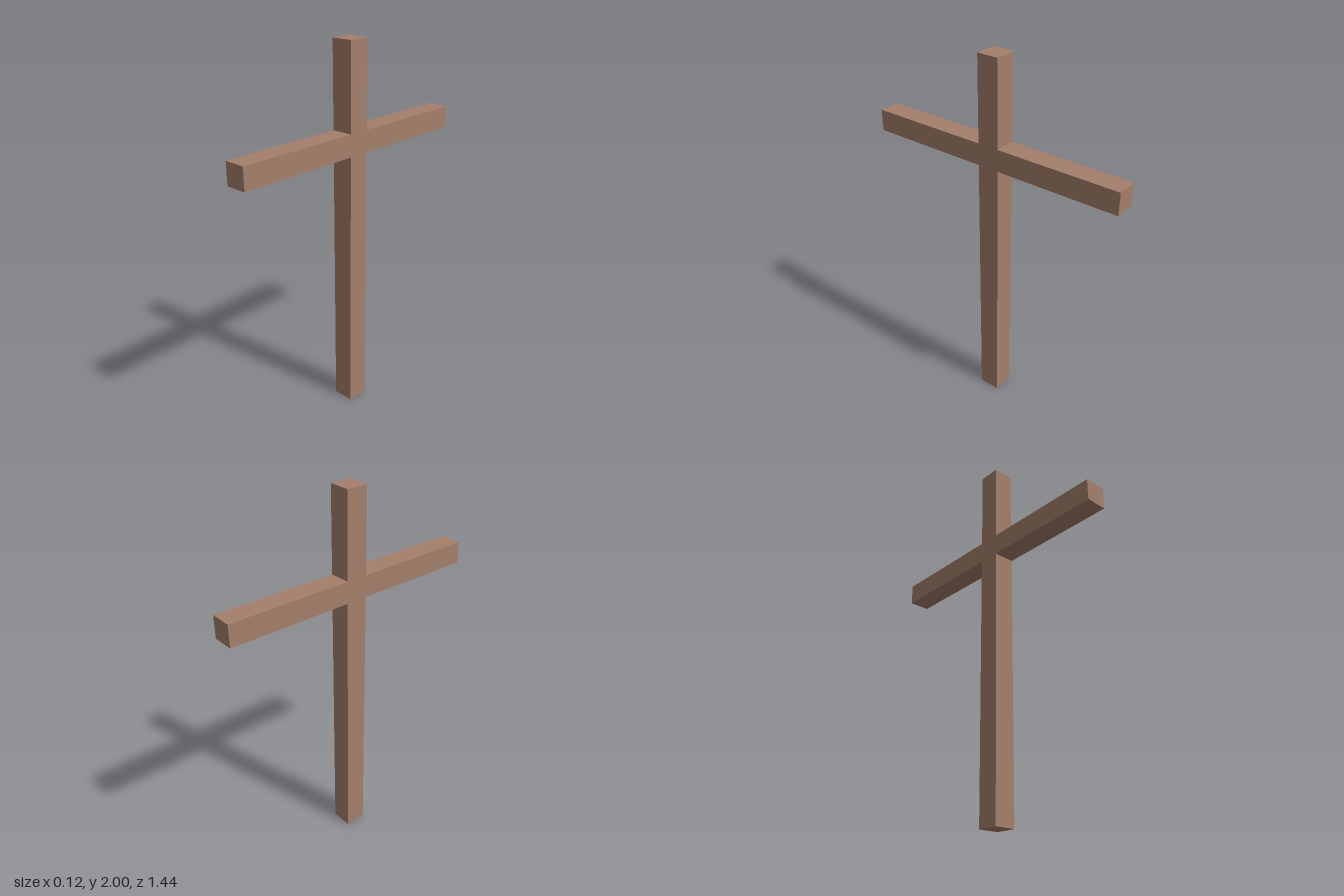
import * as THREE from 'three';

export function createModel() {
  const group = new THREE.Group();
  group.name = 'woodenCross';

  const half = 0.058;               // half thickness of the square timber
  const height = 2;
  const reach = 0.72;               // half length of the crossbar
  const barLow = 1.44, barHigh = 1.556;

  // Right half of the outline, bottom to top, then mirrored back down
  const side = [
    [half, 0], [half, barLow], [reach, barLow],
    [reach, barHigh], [half, barHigh], [half, height],
  ];
  const mirrored = side.map(([u, v]) => [-u, v]).reverse();
  const outline = new THREE.Shape([...side, ...mirrored].map(([u, v]) => new THREE.Vector2(u, v)));

  // Post and crossbar are flush, so they form one solid
  const geometry = new THREE.ExtrudeGeometry(outline, { depth: 2 * half, bevelEnabled: false });
  geometry.translate(0, 0, -half);
  geometry.rotateY(Math.PI / 2);    // crossbar runs along z

  const wood = new THREE.MeshStandardMaterial({ color: 0xa57f6b });
  const cross = new THREE.Mesh(geometry, wood);
  cross.name = 'postAndCrossbar';
  group.add(cross);
  return group;
}
